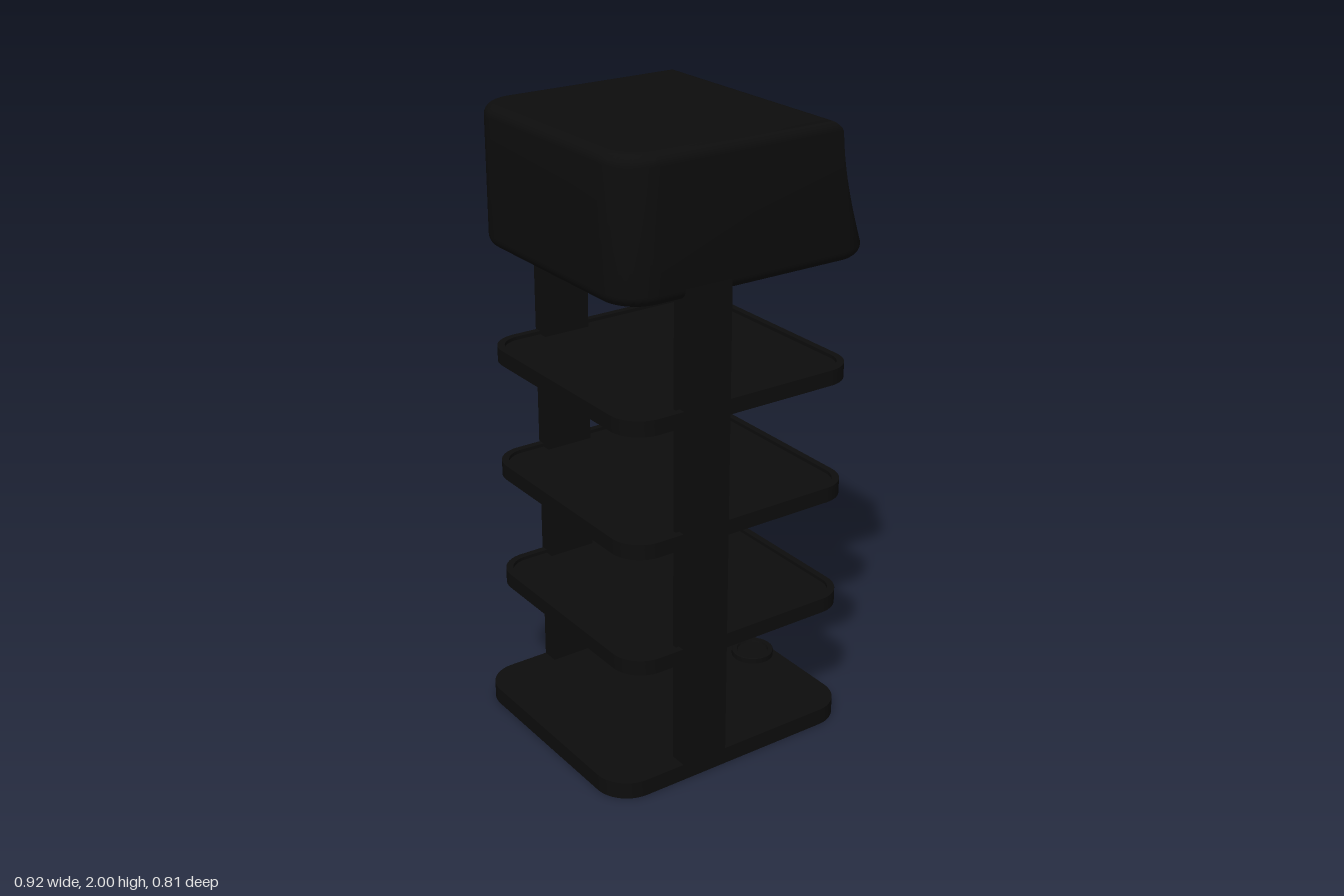
import * as THREE from 'three';
import { toCreasedNormals } from 'three/addons/utils/BufferGeometryUtils.js';

const black = new THREE.MeshStandardMaterial({ color: 0x0d0d0d });
black.name = 'matte black';

// Rounded rectangle outline in plan (x, z), counter-clockwise
function outline(x0, x1, halfDepth, r, steps = 14) {
  const pts = [];
  const corners = [[x1 - r, halfDepth - r], [x0 + r, halfDepth - r], [x0 + r, r - halfDepth], [x1 - r, r - halfDepth]];
  corners.forEach(([cx, cz], k) => {
    for (let i = 0; i <= steps; i++) {
      const a = (k + i / steps) * Math.PI / 2;
      pts.push(new THREE.Vector2(cx + r * Math.cos(a), cz + r * Math.sin(a)));
    }
  });
  return pts;
}

// Horizontal plate from y0 to y1, optionally with an opening
function plate(points, y0, y1, hole) {
  const shape = new THREE.Shape(points);
  if (hole) shape.holes.push(new THREE.Path(hole));
  const geo = new THREE.ExtrudeGeometry(shape, { depth: y1 - y0, bevelEnabled: false });
  geo.rotateX(-Math.PI / 2).translate(0, y0, 0);
  return toCreasedNormals(geo, 0.6);
}

// Hood: stacked plan sections, softened at top and bottom, sliced by a sloping side
function hoodGeometry() {
  const y0 = 1.57, y1 = 2, r = 0.035, n = 6, levels = [];
  for (let i = 0; i <= n; i++) {
    const a = i / n * Math.PI / 2;
    levels.push([y0 + r * (1 - Math.cos(a)), r * (1 - Math.sin(a))]);
  }
  for (let i = 0; i <= n; i++) {
    const a = i / n * Math.PI / 2;
    levels.push([y1 - r * (1 - Math.sin(a)), r * (1 - Math.cos(a))]);
  }
  const pos = [], idx = [];
  let count = 0;
  for (const [y, inset] of levels) {
    const ring = outline(-0.42 + inset, 0.475 - inset, 0.405 - inset, 0.122 - inset, 24);
    const limit = 0.457 - (y - 1.6) * 0.35 - inset;
    count = ring.length;
    for (const p of ring) pos.push(Math.min(p.x, limit), y, p.y);
  }
  for (let l = 0; l < levels.length - 1; l++) {
    for (let i = 0; i < count; i++) {
      const a = l * count + i, b = l * count + (i + 1) % count;
      idx.push(a, a + count, b, b, a + count, b + count);
    }
  }
  // Flat caps
  const bottom = pos.length / 3, last = (levels.length - 1) * count;
  pos.push(0, y0, 0, 0, y1, 0);
  for (let i = 0; i < count; i++) {
    const j = (i + 1) % count;
    idx.push(bottom, i, j, bottom + 1, last + j, last + i);
  }
  const geo = new THREE.BufferGeometry();
  geo.setAttribute('position', new THREE.Float32BufferAttribute(pos, 3));
  geo.setIndex(idx);
  return toCreasedNormals(geo, 0.6);
}

export function createModel() {
  const model = new THREE.Group();
  model.name = 'shelfTower';
  const add = (parent, name, geo) => {
    const mesh = new THREE.Mesh(geo, black);
    mesh.name = name;
    parent.add(mesh);
    return mesh;
  };

  add(model, 'base', plate(outline(-0.46, 0.435, 0.405, 0.11), 0, 0.055));

  // Round button with a shallow dish
  const dish = [[0, 0.068], [0.05, 0.068], [0.053, 0.075], [0.068, 0.075], [0.07, 0.073], [0.07, 0.05]];
  const button = new THREE.LatheGeometry(dish.map(p => new THREE.Vector2(...p)).reverse(), 40);
  add(model, 'button', toCreasedNormals(button, 0.5)).position.x = 0.362;

  // Front and back posts
  for (const [name, side] of [['frontPost', 1], ['backPost', -1]]) {
    add(model, name, new THREE.BoxGeometry(0.16, 1.6, 0.057)).position.set(-0.135, 0.82, side * 0.3765);
  }

  // Trays with a low rim
  for (const y of [0.415, 0.802, 1.19]) {
    const tray = new THREE.Group();
    tray.name = 'tray';
    add(tray, 'trayFloor', plate(outline(-0.4, 0.425, 0.4, 0.1), y, y + 0.038));
    add(tray, 'trayRim', plate(outline(-0.4, 0.425, 0.4, 0.1), y + 0.038, y + 0.049,
      outline(-0.378, 0.403, 0.378, 0.08)));
    model.add(tray);
  }

  add(model, 'hood', hoodGeometry());
  return model;
}
